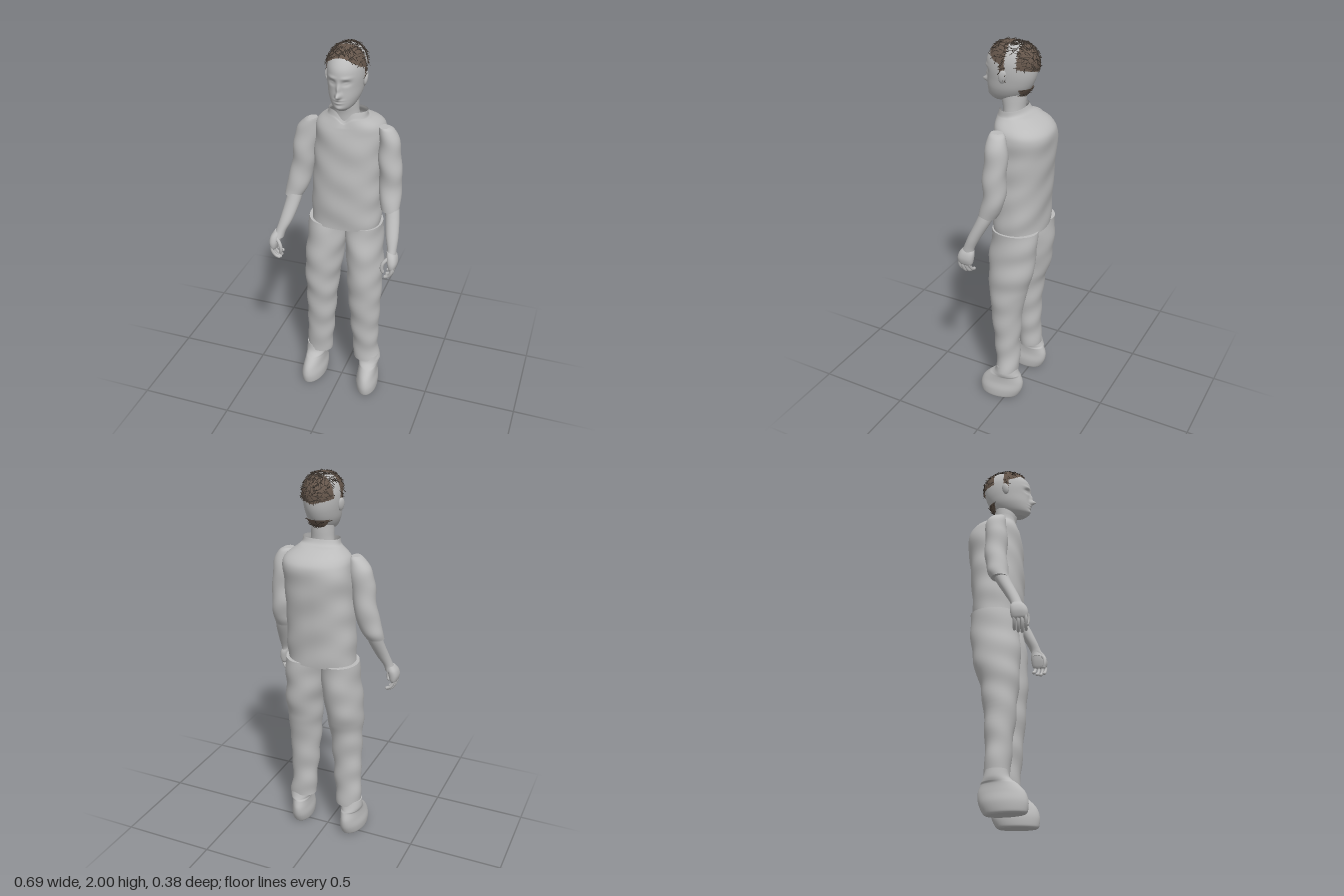
import * as THREE from 'three';
import { mergeGeometries } from 'three/addons/utils/BufferGeometryUtils.js';

const grey = new THREE.MeshStandardMaterial({ color: 0xbcbcbc, side: THREE.DoubleSide });
grey.name = 'plain grey';
const brown = new THREE.MeshStandardMaterial({ color: 0x66574c, side: THREE.DoubleSide });
brown.name = 'hair brown';
const dark = new THREE.MeshStandardMaterial({ color: 0x38312b });
dark.name = 'dark strand';

const CX = 0.035; // centre line of head and trunk
const gauss = (u, v) => Math.exp(-u * u - v * v);

// smooth curve through the rows [y, xMin, xMax, zMin, zMax]
function sampleRows(rows, t) {
  const n = rows.length - 1, f = t * n, i = Math.min(Math.floor(f), n - 1), u = f - i;
  const at = (k) => rows[Math.max(0, Math.min(n, k))];
  return rows[0].map((_, k) => {
    const [a, b, c, d] = [at(i - 1)[k], at(i)[k], at(i + 1)[k], at(i + 2)[k]];
    return 0.5 * (2 * b + (c - a) * u + (2 * a - 5 * b + 4 * c - d) * u * u + (3 * b - a - 3 * c + d) * u * u * u);
  });
}

// point on a loft: t runs up the rows, a runs round the section
function loftPoint(rows, t, a, power = 2) {
  const [y, x0, x1, z0, z1] = sampleRows(rows, t);
  const c = Math.cos(a), s = Math.sin(a), e = 2 / power;
  return new THREE.Vector3(
    (x0 + x1) / 2 + (x1 - x0) / 2 * Math.sign(c) * Math.abs(c) ** e, y,
    (z0 + z1) / 2 + (z1 - z0) / 2 * Math.sign(s) * Math.abs(s) ** e);
}

// closed tube of oval sections; rule moves each point
function loft(rows, { seg = 32, steps = 40, power = 2, rule = null, bottom = true, top = true } = {}) {
  const sorted = [...rows].sort((p, q) => p[0] - q[0]), pos = [], idx = [];
  const ring = (t) => {
    for (let i = 0; i < seg; i++) {
      const p = loftPoint(sorted, t, i / seg * Math.PI * 2, power);
      if (rule) rule(p);
      pos.push(p.x, p.y, p.z);
    }
  };
  for (let j = 0; j <= steps; j++) ring(j / steps);
  for (let j = 0; j < steps; j++) for (let i = 0; i < seg; i++) {
    const a = j * seg + i, b = j * seg + (i + 1) % seg;
    idx.push(a, a + seg, b, b, a + seg, b + seg);
  }
  for (const t of [bottom ? 0 : -1, top ? 1 : -1]) {
    if (t < 0) continue;
    const base = pos.length / 3;
    ring(t);
    const [y, x0, x1, z0, z1] = sampleRows(sorted, t);
    pos.push((x0 + x1) / 2, y, (z0 + z1) / 2);
    for (let i = 0; i < seg; i++) {
      const a = base + i, b = base + (i + 1) % seg;
      idx.push(base + seg, ...(t ? [b, a] : [a, b]));
    }
  }
  const g = new THREE.BufferGeometry();
  g.setAttribute('position', new THREE.Float32BufferAttribute(pos, 3));
  g.setIndex(idx);
  g.computeVertexNormals();
  return g;
}

// soft cloth folds
const folds = (p) => {
  p.x += 0.003 * Math.sin(p.y * 42 + p.z * 14);
  p.z += 0.003 * Math.sin(p.y * 34 + p.x * 17);
};

const headRows = [
  [1.705, 0.01, 0.06, 0.05, 0.125], [1.727, -0.018, 0.088, -0.02, 0.148], [1.77, -0.04, 0.11, -0.065, 0.153],
  [1.82, -0.05, 0.12, -0.092, 0.153], [1.87, -0.055, 0.125, -0.104, 0.157], [1.915, -0.052, 0.122, -0.104, 0.15],
  [1.955, -0.037, 0.107, -0.085, 0.12], [1.982, -0.01, 0.08, -0.05, 0.08], [1.99, 0.03, 0.04, 0.0, 0.02]];

// nose, eye sockets, brows, lips and chin
function face(p) {
  if (p.z < 0.06) return;
  const x = p.x - CX, ax = Math.abs(x), y = p.y;
  p.z += 0.032 * gauss(x / 0.012, (y - 1.79) / 0.013) + 0.016 * gauss(x / 0.009, (y - 1.82) / 0.024)
    - 0.013 * gauss((ax - 0.034) / 0.018, (y - 1.85) / 0.012) + 0.006 * gauss((ax - 0.034) / 0.012, (y - 1.849) / 0.006)
    + 0.005 * gauss((ax - 0.035) / 0.022, (y - 1.874) / 0.008) + 0.007 * gauss(x / 0.022, (y - 1.768) / 0.005)
    + 0.007 * gauss(x / 0.02, (y - 1.754) / 0.006) + 0.007 * gauss(x / 0.02, (y - 1.728) / 0.012);
}

// where hair sheets lie on the scalp
function isHair(p) {
  const x = Math.abs(p.x - CX) / 0.09, { y, z } = p;
  if (z > 0.02) return y > 1.955 - 0.055 * x * x || (z < 0.045 && y > 1.83);
  if (z < -0.035) return y > 1.885 - 0.02 * (1 - x) || (y < 1.785 && y > 1.725);
  return false;
}

export function createModel() {
  const model = new THREE.Group();
  const add = (name, geo, mat = grey, parent = model) => {
    const m = new THREE.Mesh(geo, mat);
    m.name = name;
    parent.add(m);
    return m;
  };

  // shirt with a notched collar
  add('shirt', loft([
    [1.04, -0.16, 0.2, -0.15, 0.105], [1.15, -0.16, 0.203, -0.157, 0.11], [1.3, -0.152, 0.2, -0.168, 0.112],
    [1.45, -0.145, 0.203, -0.182, 0.108], [1.55, -0.142, 0.207, -0.19, 0.102], [1.6, -0.125, 0.197, -0.165, 0.095],
    [1.64, -0.08, 0.15, -0.1, 0.085], [1.655, -0.066, 0.136, -0.06, 0.078], [1.68, -0.062, 0.132, -0.045, 0.07]],
  { seg: 64, steps: 64, power: 2.3, top: false, rule: (p) => {
    folds(p);
    if (p.z > 0 && p.y > 1.6) p.y -= 0.6 * (p.y - 1.6) * gauss((p.x - CX) / 0.03, 0);
  } }));

  // head, neck and ears
  add('neck', loft([[1.58, -0.045, 0.11, -0.045, 0.07], [1.66, -0.026, 0.094, -0.04, 0.07],
    [1.72, -0.022, 0.09, -0.045, 0.08], [1.78, -0.02, 0.088, -0.05, 0.08]]));
  const headGeo = loft(headRows, { seg: 112, steps: 90, rule: face });
  add('head', headGeo);
  for (const s of [-1, 1]) {
    const ear = add(s < 0 ? 'rightEar' : 'leftEar', new THREE.SphereGeometry(1, 16, 12));
    ear.scale.set(0.011, 0.034, 0.02);
    ear.position.set(CX + s * 0.092, 1.845, 0.03);
    ear.rotation.set(-0.15, s * 0.35, -s * 0.12);
  }

  // hair sheets: pieces of the scalp pushed outward
  const src = headGeo.index.array, hp = headGeo.attributes.position, keep = [];
  const v = new THREE.Vector3();
  for (let i = 0; i < src.length; i += 3) {
    v.set(0, 0, 0);
    for (let k = 0; k < 3; k++) v.add(new THREE.Vector3().fromBufferAttribute(hp, src[i + k]));
    if (isHair(v.divideScalar(3))) keep.push(src[i], src[i + 1], src[i + 2]);
  }
  const hair = headGeo.clone();
  hair.setIndex(keep);
  hair.translate(-CX, -1.85, -0.02).scale(1.05, 1.045, 1.05).translate(CX, 1.85, 0.02);
  add('hairSheets', hair, brown);

  // crossing strands
  let seed = 7;
  const rnd = () => (seed = (seed * 16807) % 2147483647) / 2147483647;
  const strands = [], centre = new THREE.Vector3(CX, 1.85, 0.02);
  while (strands.length < 420) {
    const p = loftPoint(headRows, 0.15 + 0.83 * rnd(), rnd() * Math.PI * 2);
    const crown = p.y > 1.95 && rnd() < 0.75;
    if (!isHair(p) && !crown) continue;
    const out = p.clone().sub(centre).normalize();
    const g = new THREE.BoxGeometry(0.0022, 0.018 + 0.022 * rnd(), 0.0016);
    g.rotateX((rnd() - 0.5) * 0.5).rotateZ((rnd() - 0.5) * 2.2);
    g.applyQuaternion(new THREE.Quaternion().setFromUnitVectors(new THREE.Vector3(0, 0, 1), out));
    p.addScaledVector(out, 0.008);
    if (p.y > 1.99) p.y = 1.99;
    strands.push(g.translate(p.x, p.y, p.z));
  }
  add('hairStrands', mergeGeometries(strands), dark);

  // trousers
  const legZ = [[1.05, -0.15, 0.09], [0.92, -0.145, 0.108], [0.8, -0.13, 0.112], [0.7, -0.105, 0.108],
    [0.6, -0.08, 0.1], [0.4, -0.062, 0.08], [0.28, -0.06, 0.068], [0.18, -0.06, 0.064]];
  const legX = {
    right: [[-0.18, 0.012], [-0.188, 0.012], [-0.2, 0.0], [-0.198, -0.012], [-0.193, -0.023], [-0.192, -0.04], [-0.195, -0.05], [-0.198, -0.06]],
    left: [[0.02, 0.213], [0.022, 0.217], [0.034, 0.225], [0.038, 0.224], [0.046, 0.222], [0.062, 0.214], [0.072, 0.211], [0.075, 0.225]] };
  // shoes
  const shoeRows = [[0.0, -0.05, 0.05, -0.05, 0.14], [0.012, -0.058, 0.058, -0.065, 0.15], [0.055, -0.062, 0.06, -0.085, 0.154],
    [0.1, -0.055, 0.052, -0.09, 0.14], [0.14, -0.052, 0.052, -0.078, 0.105], [0.17, -0.058, 0.058, -0.064, 0.068], [0.21, -0.055, 0.055, -0.052, 0.056]];
  // sleeves and forearms
  const sleeveX = {
    right: [[-0.165, -0.122], [-0.19, -0.118], [-0.233, -0.118], [-0.245, -0.122], [-0.255, -0.137], [-0.27, -0.15], [-0.292, -0.178], [-0.292, -0.2]],
    left: [[0.197, 0.245], [0.194, 0.268], [0.193, 0.29], [0.194, 0.302], [0.196, 0.31], [0.202, 0.316], [0.208, 0.314], [0.222, 0.316]] };
  const sleeveZ = [[1.605, -0.02, 0.04], [1.59, -0.038, 0.046], [1.545, -0.05, 0.056], [1.48, -0.053, 0.062],
    [1.4, -0.052, 0.066], [1.3, -0.047, 0.066], [1.22, -0.03, 0.078], [1.175, -0.005, 0.085]];
  const foreX = {
    right: [[-0.275, -0.195], [-0.283, -0.205], [-0.3, -0.232], [-0.315, -0.262], [-0.33, -0.272]],
    left: [[0.235, 0.308], [0.25, 0.322], [0.268, 0.332], [0.285, 0.332], [0.282, 0.333]] };
  const foreZ = [[1.22, -0.01, 0.07], [1.15, 0.02, 0.095], [1.06, 0.07, 0.135], [1.0, 0.1, 0.158], [0.965, 0.105, 0.175]];
  const join = (yz, xs) => yz.map(([y, z0, z1], i) => [y, xs[i][0], xs[i][1], z0, z1]);

  for (const side of ['right', 'left']) {
    const s = side === 'left' ? 1 : -1;
    add(side + 'TrouserLeg', loft(join(legZ, legX[side]), { steps: 60, rule: folds }));
    const shoe = add(side + 'Shoe', loft(shoeRows, { rule: (p) => {
      p.x += s * 0.1 * (p.z - 0.03) * (p.y < 0.15 ? 1 : 0.3);
    } }));
    shoe.position.x = s < 0 ? -0.147 : 0.166;
    add(side + 'Sleeve', loft(join(sleeveZ, sleeveX[side]), { steps: 50, rule: folds }));
    add(side + 'Forearm', loft(join(foreZ, foreX[side])));

    // hand: palm, four curled fingers and a thumb
    const hand = new THREE.Group();
    hand.name = side + 'Hand';
    model.add(hand);
    const hx = (x) => s * x;
    const palm = [[0.995, 0.285, 0.322, 0.108, 0.16], [0.97, 0.288, 0.338, 0.1, 0.18],
      [0.94, 0.292, 0.344, 0.102, 0.19], [0.912, 0.3, 0.338, 0.108, 0.188], [0.9, 0.306, 0.33, 0.118, 0.18]];
    add('palm', loft(palm.map(([y, a, b, z0, z1]) => [y, Math.min(hx(a), hx(b)), Math.max(hx(a), hx(b)), z0, z1]),
      { seg: 24, steps: 20, power: 2.4 }), grey, hand);
    const digit = (name, pts, r) => {
      const curve = new THREE.CatmullRomCurve3(pts.map(([x, y, z]) => new THREE.Vector3(hx(x), y, z)));
      add(name, new THREE.TubeGeometry(curve, 10, r, 8), grey, hand);
      const tip = add(name + 'Tip', new THREE.SphereGeometry(r, 8, 6), grey, hand);
      tip.position.copy(curve.getPoint(1));
    };
    for (let i = 0; i < 4; i++) {
      const z = 0.178 - i * 0.019, drop = [0.008, 0, 0.004, 0.016][i];
      digit('finger' + (i + 1), [[0.325, 0.92, z], [0.322, 0.885 + drop, z + 0.002], [0.306, 0.858 + drop, z - 0.002], [0.288, 0.85 + drop, z - 0.004]], 0.0085);
    }
    digit('thumb', [[0.3, 0.965, 0.165], [0.278, 0.94, 0.18], [0.272, 0.91, 0.182], [0.276, 0.89, 0.178]], 0.0095);
  }
  return model;
}
